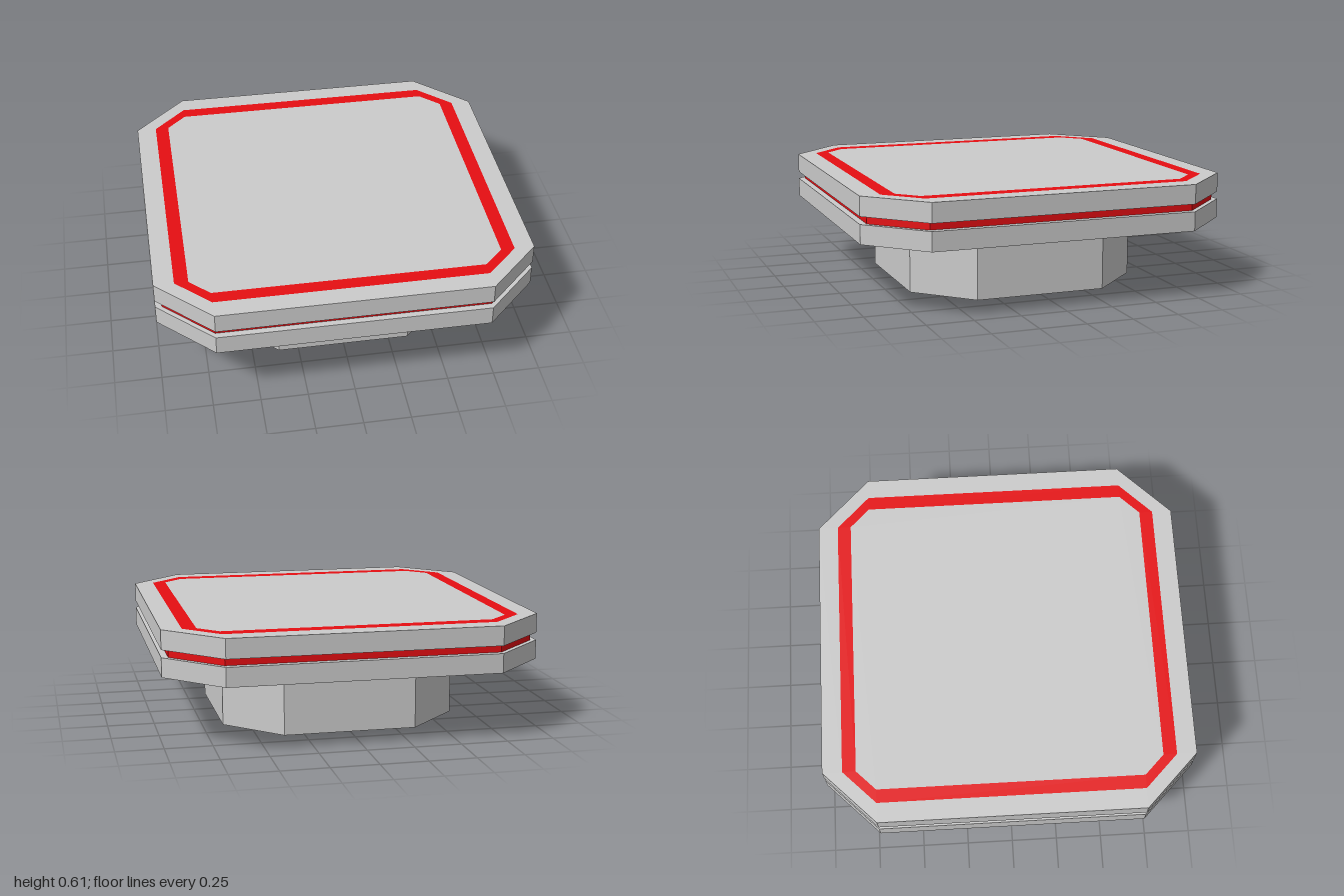
import * as THREE from 'three';

// Chamfered square: half width h, straight edges reaching to +-c
const corners = (h, c) => [[-c, h], [c, h], [h, c], [h, -c], [c, -h], [-c, -h], [-h, -c], [-h, c]];

const material = (color) => new THREE.MeshStandardMaterial({ color, flatShading: true, side: THREE.DoubleSide });

// Open shell through a list of [halfWidth, corner, y] levels
function shell(levels) {
  const pos = [];
  for (let l = 0; l < levels.length - 1; l++) {
    const [a, b] = [levels[l], levels[l + 1]].map(([h, c, y]) => corners(h, c).map(([x, z]) => [x, y, z]));
    for (let i = 0; i < 8; i++) {
      const j = (i + 1) % 8;
      pos.push(...a[i], ...a[j], ...b[j], ...a[i], ...b[j], ...b[i]);
    }
  }
  const geo = new THREE.BufferGeometry();
  geo.setAttribute('position', new THREE.Float32BufferAttribute(pos, 3));
  geo.computeVertexNormals();
  return geo;
}

export function createModel() {
  const group = new THREE.Group();
  const grey = material(0xcccccc);
  const red = material(0xe60e12);
  const add = (name, geo, mat) => {
    const mesh = new THREE.Mesh(geo, mat);
    mesh.name = name;
    group.add(mesh);
    return mesh;
  };
  const C = 0.715; // corner position shared by all plate levels

  // Hollow foot, open underneath
  add('foot', shell([[0.64, 0.357, 0], [0.64, 0.357, 0.363]]), grey);

  // Lower plate: underside, rim and ledge
  add('lowerPlate', shell([[0.64, 0.357, 0.363], [1, C, 0.363], [1, C, 0.466], [0.965, C, 0.466]]), grey);

  // Recessed band between the plates
  add('redBand', shell([[0.965, C, 0.466], [0.965, C, 0.506]]), red);

  // Upper plate: ledge, rim and top border
  add('upperPlate', shell([[0.965, C, 0.506], [1, C, 0.506], [1, C, 0.61], [0.893, C, 0.61]]), grey);

  // Flush ring on the top
  add('redRing', shell([[0.893, C, 0.61], [0.82, C, 0.61]]), red);

  // Centre of the top
  const shape = new THREE.Shape(corners(0.82, C).map(([x, z]) => new THREE.Vector2(x, -z)));
  const top = new THREE.ShapeGeometry(shape).rotateX(-Math.PI / 2).translate(0, 0.61, 0);
  add('topPanel', top, grey);

  return group;
}
